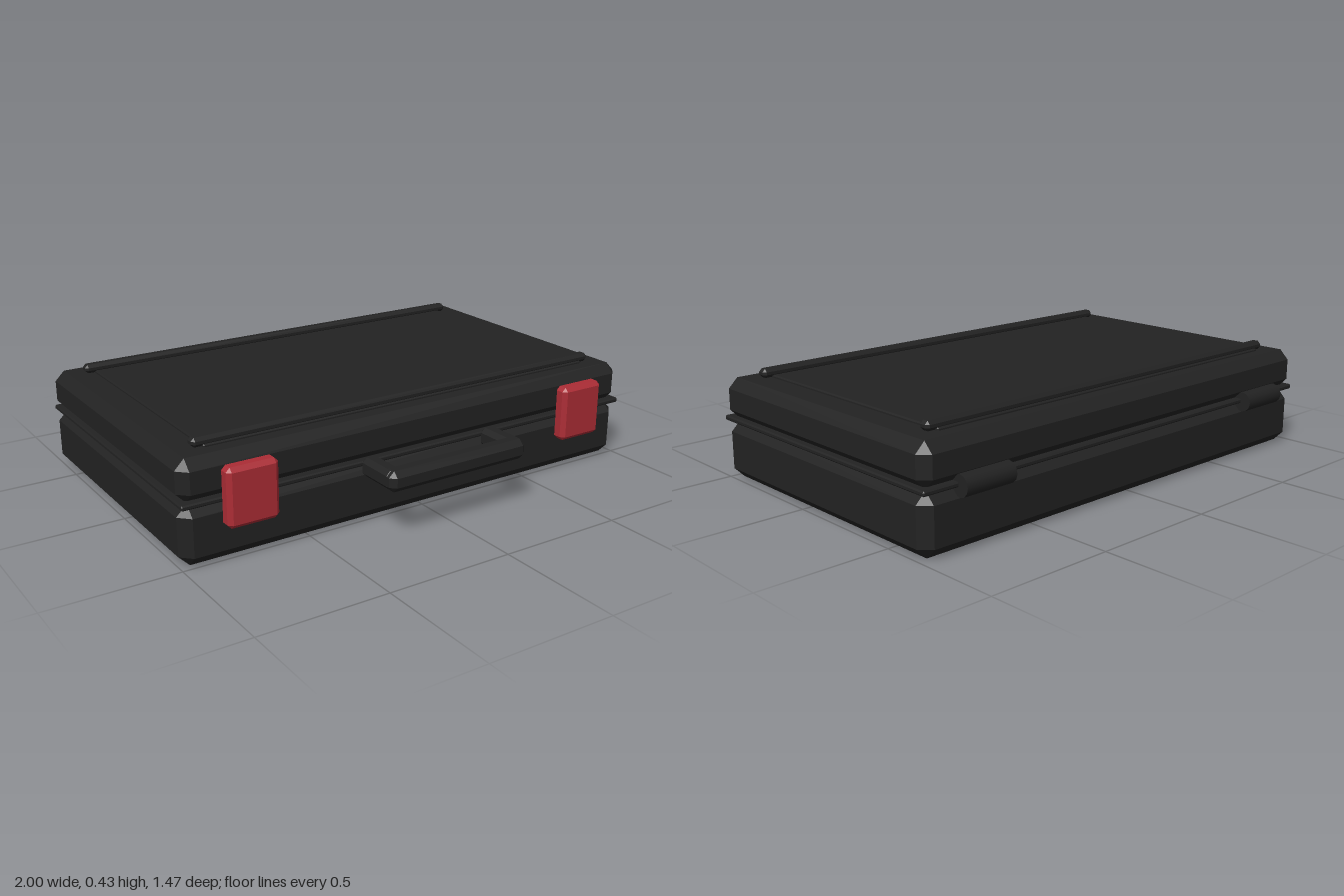
import * as THREE from 'three';
import { ConvexGeometry } from 'three/addons/geometries/ConvexGeometry.js';

const black = new THREE.MeshStandardMaterial({ color: 0x222222 });
black.name = 'black plastic';
const red = new THREE.MeshStandardMaterial({ color: 0xab2c35 });
red.name = 'red plastic';

// Box given by its ranges, with every edge cut by a flat chamfer c
function chamferBox(name, material, [x0, x1], [y0, y1], [z0, z1], c) {
  const hx = (x1 - x0) / 2, hy = (y1 - y0) / 2, hz = (z1 - z0) / 2;
  const points = [];
  for (const sx of [-1, 1]) for (const sy of [-1, 1]) for (const sz of [-1, 1]) {
    points.push(
      new THREE.Vector3(sx * hx, sy * (hy - c), sz * (hz - c)),
      new THREE.Vector3(sx * (hx - c), sy * hy, sz * (hz - c)),
      new THREE.Vector3(sx * (hx - c), sy * (hy - c), sz * hz)
    );
  }
  const mesh = new THREE.Mesh(new ConvexGeometry(points), material);
  mesh.position.set((x0 + x1) / 2, (y0 + y1) / 2, (z0 + z1) / 2);
  mesh.name = name;
  return mesh;
}

export function createModel() {
  const model = new THREE.Group();
  model.name = 'carryCase';

  // Two shells with the thin sealing strip between them
  model.add(
    chamferBox('lowerShell', black, [-1, 1], [0, 0.229], [-0.69, 0.51], 0.041),
    chamferBox('lid', black, [-1, 1], [0.235, 0.394], [-0.69, 0.51], 0.038),
    chamferBox('seal', black, [-1, 1], [0.225, 0.244], [-0.69, 0.515], 0.005)
  );

  // Raised lid panel and its front and back ribs
  model.add(chamferBox('lidPanel', black, [-0.865, 0.865], [0.38, 0.404], [-0.6, 0.42], 0.005));
  for (const [name, z] of [['frontRib', 0.395], ['backRib', -0.573]]) {
    model.add(chamferBox(name, black, [-0.905, 0.905], [0.395, 0.43], [z - 0.023, z + 0.023], 0.012));
  }

  // Latches and hinges, one pair on each side
  for (const s of [-1, 1]) {
    const side = s > 0 ? 'left' : 'right';
    model.add(chamferBox(side + 'Latch', red, [s * 0.75 - 0.1, s * 0.75 + 0.1], [0.135, 0.358], [0.5, 0.563], 0.016));

    const hinge = new THREE.Mesh(
      new THREE.CylinderGeometry(0.04, 0.04, 0.215, 12).rotateZ(Math.PI / 2), black);
    hinge.position.set(s * 0.75, 0.232, -0.695);
    hinge.name = side + 'Hinge';
    model.add(hinge);
  }

  // Carrying handle: two arms and a grip
  const handle = new THREE.Group();
  handle.name = 'handle';
  for (const s of [-1, 1]) {
    handle.add(chamferBox('handleArm', black, [s * 0.272 - 0.035, s * 0.272 + 0.035], [0.2, 0.275], [0.532, 0.715], 0.018));
  }
  handle.add(chamferBox('handleGrip', black, [-0.307, 0.307], [0.197, 0.277], [0.658, 0.735], 0.022));
  model.add(handle);

  return model;
}
